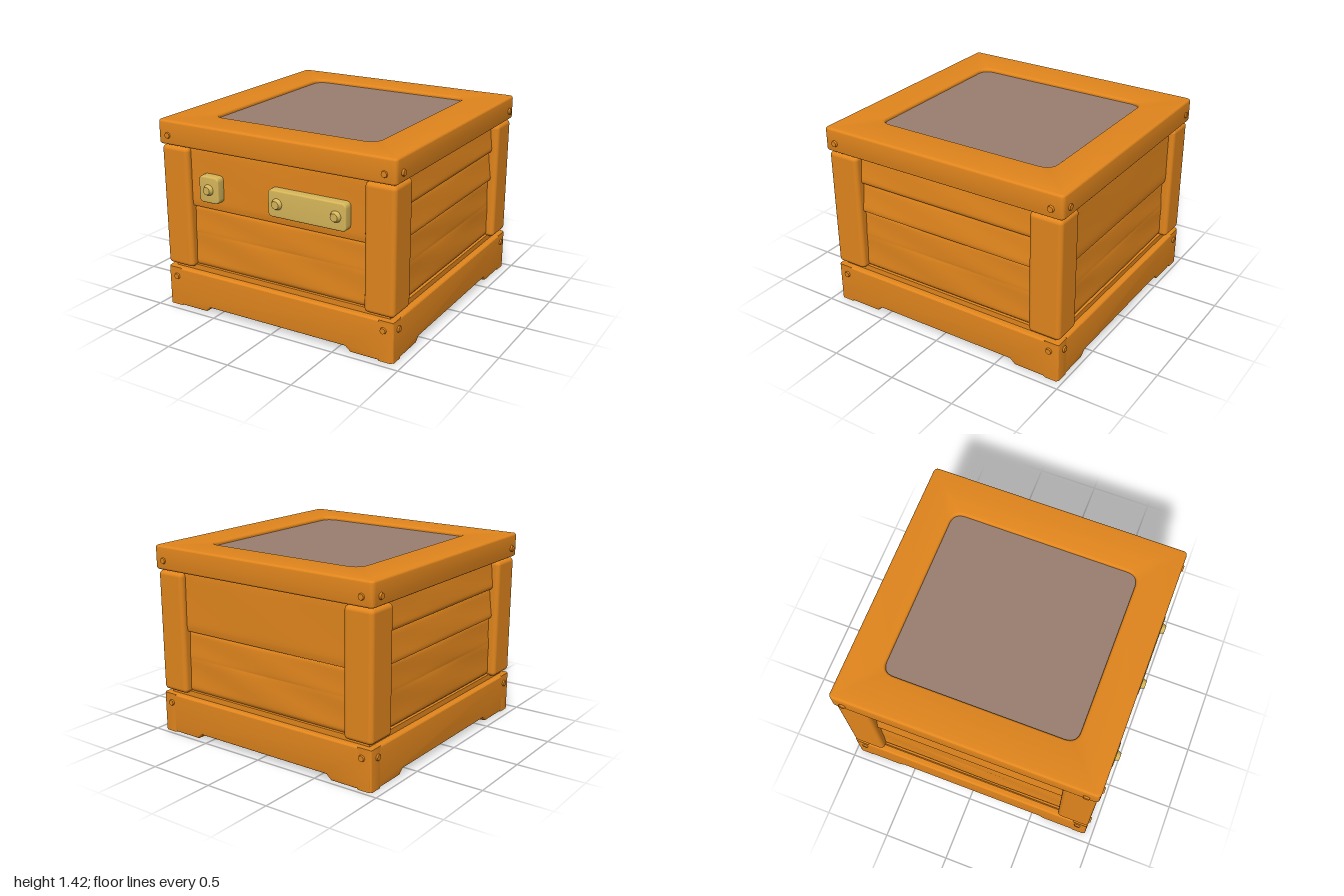
import * as THREE from 'three';
import { toCreasedNormals } from 'three/addons/utils/BufferGeometryUtils.js';
import { RoundedBoxGeometry } from 'three/addons/geometries/RoundedBoxGeometry.js';

const HX = 0.937, HZ = 0.957; // half width and half depth of the crate

function material(name, color) {
  const m = new THREE.MeshStandardMaterial({ color });
  m.name = name;
  return m;
}

function add(parent, name, geometry, mat, x = 0, y = 0, z = 0) {
  const mesh = new THREE.Mesh(geometry, mat);
  mesh.name = name;
  mesh.position.set(x, y, z);
  parent.add(mesh);
  return mesh;
}

// Rounded rectangle outline
function roundedRect(target, hx, hy, r) {
  target.moveTo(-hx + r, -hy);
  target.lineTo(hx - r, -hy).quadraticCurveTo(hx, -hy, hx, -hy + r);
  target.lineTo(hx, hy - r).quadraticCurveTo(hx, hy, hx - r, hy);
  target.lineTo(-hx + r, hy).quadraticCurveTo(-hx, hy, -hx, hy - r);
  target.lineTo(-hx, -hy + r).quadraticCurveTo(-hx, -hy, -hx + r, -hy);
  return target;
}

// Extrusion with softened edges that stays inside its outline; spans z = 0..depth
function softExtrude(shape, depth, bevel) {
  const g = new THREE.ExtrudeGeometry(shape, {
    depth: depth - 2 * bevel, bevelThickness: bevel, bevelSize: bevel,
    bevelOffset: -bevel, bevelSegments: 4, curveSegments: 8,
  });
  g.translate(0, 0, bevel);
  return toCreasedNormals(g, 0.3);
}

// Worn plank: lower edge leaning outwards, rounded long edges, slight waviness
function plankGeometry(length, y0, y1, lean, roundTop, roundBottom, wave) {
  const h = y1 - y0, depth = 0.1;
  const g = new THREE.BoxGeometry(length, h, depth, 20, 16, 1);
  const p = g.attributes.position;
  for (let i = 0; i < p.count; i++) {
    const u = p.getX(i) / (length / 2), v = p.getY(i) / (h / 2);
    if (p.getZ(i) > 0) {
      const round = (v > 0 ? roundTop : roundBottom) * Math.pow(Math.abs(v), 10);
      const ripple = wave * Math.cos(u * 4 + v) * (1 - v * v);
      p.setZ(i, depth / 2 - lean * (v + 1) / 2 - round + ripple);
    }
  }
  g.computeVertexNormals();
  return g;
}

export function createModel() {
  const wood = material('orange wood', 0xe2861d);
  const brass = material('brass', 0xd6b65a);
  const glass = material('lid panel', 0x9b7f70);

  const model = new THREE.Group();
  model.name = 'crate';
  const body = new THREE.Group();
  body.name = 'crateBody';
  body.position.set(-0.003, 0, -0.013);
  model.add(body);

  // Inner box, floor and the step under the planks
  add(body, 'innerBox', new THREE.BoxGeometry(1.66, 1.03, 1.7), wood, 0, 0.775, 0);
  add(body, 'floor', new THREE.BoxGeometry(1.8, 0.272, 1.84), wood, 0, 0.159, 0);
  add(body, 'step', new THREE.BoxGeometry(1.78, 0.05, 1.82), wood, 0, 0.315, 0);

  // Corner posts
  const postGeometry = new RoundedBoxGeometry(0.228, 0.907, 0.245, 4, 0.032);
  for (const sx of [-1, 1]) for (const sz of [-1, 1]) {
    add(body, 'cornerPost', postGeometry, wood, sx * (HX - 0.114), 0.7785, sz * (HZ - 0.1225));
  }

  // Lid frame with an inset panel
  const lidShape = roundedRect(new THREE.Shape(), 0.947, 0.971, 0.035);
  lidShape.holes.push(roundedRect(new THREE.Path(), 0.653, 0.702, 0.09));
  const lid = softExtrude(lidShape, 0.178, 0.02);
  lid.rotateX(-Math.PI / 2);
  add(body, 'lidFrame', lid, wood, 0, 1.24, 0);
  add(body, 'lidPanel', new THREE.BoxGeometry(1.4, 0.08, 1.5), glass, 0, 1.352, 0);
  add(body, 'lidUnderside', new THREE.BoxGeometry(1.72, 0.04, 1.78), wood, 0, 1.275, 0);

  // Each side: skirt board with feet, planks and bolts
  const boltGeometry = new THREE.CylinderGeometry(0.021, 0.028, 0.024, 8);
  boltGeometry.rotateX(Math.PI / 2);
  // Rows: bottom, top, lean, top rounding, bottom rounding, waviness, offset
  const lowerRows = [[0.335, 0.592, 0.006, 0.002, 0.02, 0.006, -0.004],
    [0.592, 0.8, 0.008, 0.015, 0.002, 0.004, -0.01]];
  const broadRows = [...lowerRows, [0.8, 1.245, 0.004, 0.004, 0.008, 0.002, 0.01]];
  const narrowRows = [...lowerRows, [0.795, 1.02, 0.03, 0.006, 0.008, 0.003, 0.008],
    [1.02, 1.245, 0.025, 0.004, 0.012, 0.003, 0.008]];

  ['front', 'right', 'back', 'left'].forEach((sideName, i) => {
    const end = i % 2 === 0;
    const half = end ? HX : HZ, dist = end ? HZ : HX;
    const side = new THREE.Group();
    side.name = sideName + 'Side';
    side.rotation.y = i * Math.PI / 2;
    body.add(side);

    const skirt = new THREE.Shape([
      [-half, 0], [-0.61, 0], [-0.57, 0.035], [0.57, 0.035], [0.61, 0], [half, 0],
      [half, 0.3], [-half, 0.3],
    ].map(([x, y]) => new THREE.Vector2(x, y)));
    add(side, 'skirtBoard', softExtrude(skirt, 0.12, 0.018), wood, 0, 0, dist - 0.12);

    for (const [y0, y1, lean, top, bottom, wave, out] of end ? broadRows : narrowRows) {
      add(side, 'plank', plankGeometry(2 * half - 0.44, y0, y1, lean, top, bottom, wave), wood,
        0, (y0 + y1) / 2, dist - 0.1 + out);
    }
    for (const sx of [-1, 1]) {
      add(side, 'skirtBolt', boltGeometry, wood, sx * (half - 0.075), 0.23, dist);
      add(side, 'lidBolt', boltGeometry, wood, sx * (half - 0.075), 1.31, dist + 0.012);
    }
  });

  // Brass plates and their rivets on the front
  const rivetGeometry = new THREE.CylinderGeometry(0.028, 0.042, 0.03, 16);
  rivetGeometry.rotateX(Math.PI / 2);
  for (const [x0, x1, rivets] of [[-0.6, -0.435, [-0.518]], [-0.02, 0.588, [0.055, 0.512]]]) {
    const shape = roundedRect(new THREE.Shape(), (x1 - x0) / 2, 0.097, 0.035);
    add(model, 'brassPlate', softExtrude(shape, 0.09, 0.012), brass, (x0 + x1) / 2, 0.967, 0.876);
    for (const x of rivets) add(model, 'brassRivet', rivetGeometry, brass, x, 0.967, 0.978);
  }
  return model;
}
